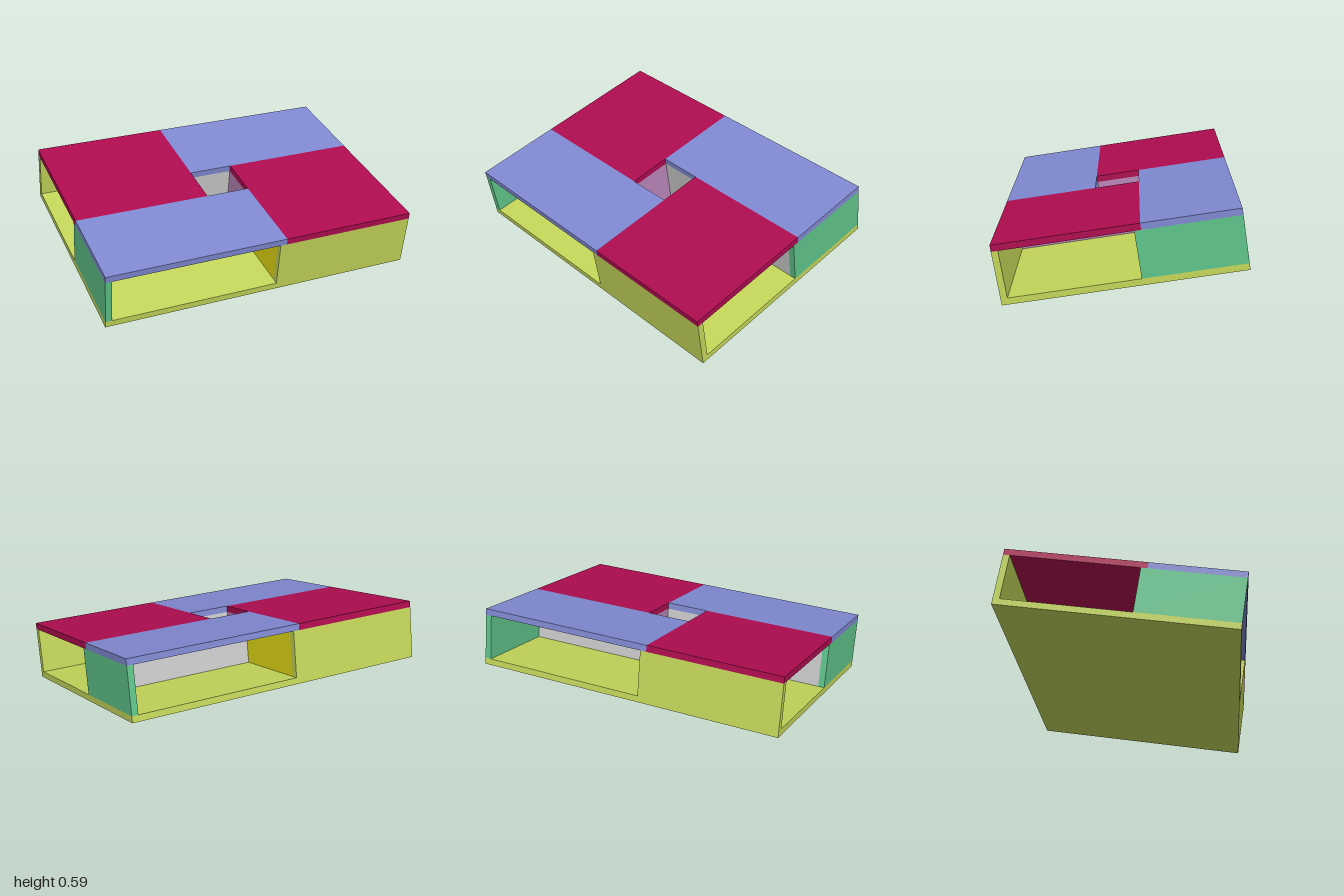
import * as THREE from 'three';

const mat = (color) => new THREE.MeshStandardMaterial({ color });
const LIME = mat(0xc4d65a), RED = mat(0xaf0c50), BLUE = mat(0x8089d2), GREEN = mat(0x5fc48a);
const PINK = mat(0xba86ba), YELLOW = mat(0xe8e015), GREY = mat(0xcccccc);

const HALF_DEPTH = 0.7135, HEIGHT = 0.368, PANEL = 0.04, LID_Y = HEIGHT - PANEL;
const HOLE = 0.14;           // half width of the central shaft
const THIN = HOLE + 0.02;    // outer face of the shaft walls
const END = HOLE - PANEL;    // inner face of the compartment ends

// Box given by its limits on each axis
function box(name, material, [x0, x1], [y0, y1], [z0, z1]) {
  const mesh = new THREE.Mesh(new THREE.BoxGeometry(x1 - x0, y1 - y0, z1 - z0), material);
  mesh.position.set((x0 + x1) / 2, (y0 + y1) / 2, (z0 + z1) / 2);
  mesh.name = name;
  return mesh;
}

// Two compartments of the pinwheel: one open to the front, one open to the side
function buildHalf() {
  const half = new THREE.Group();
  const wall = [PANEL, LID_Y], lid = [LID_Y, HEIGHT];
  const frontInside = HALF_DEPTH - PANEL, sideInside = 1 - PANEL;
  half.add(
    box('frontLid', BLUE, [-1, HOLE], lid, [HOLE, HALF_DEPTH]),
    box('sideLid', RED, [HOLE, 1], lid, [-HOLE, HALF_DEPTH]),
    box('outerFrontWall', LIME, [END, 1], wall, [frontInside, HALF_DEPTH]),
    box('outerSideWall', GREEN, [-1, -sideInside], wall, [END, HALF_DEPTH]),
    box('innerBackWall', GREY, [-sideInside, HOLE], wall, [HOLE, THIN]),
    box('sideCompartmentEnd', GREY, [-sideInside, -THIN], wall, [END, HOLE]),
    box('frontCompartmentEnd', YELLOW, [END, HOLE], wall, [THIN, frontInside]),
    box('innerSideWall', PINK, [HOLE, THIN], wall, [-HOLE, frontInside])
  );
  return half;
}

export function createModel() {
  const model = new THREE.Group();
  model.name = 'pinwheelTable';

  const body = new THREE.Group();
  body.name = 'tiltedBody';
  body.add(box('floor', LIME, [-1, 1], [0, PANEL], [-HALF_DEPTH, HALF_DEPTH]));

  // The second half is the first turned half way round the shaft
  for (const [name, turn] of [['frontHalf', 0], ['backHalf', Math.PI]]) {
    const half = buildHalf();
    half.name = name;
    half.rotation.y = turn;
    body.add(half);
  }

  // Tilt so that the front bottom edge rests on the ground
  const tilt = 0.156;
  body.rotation.x = tilt;
  body.position.set(0, HALF_DEPTH * Math.sin(tilt), -HEIGHT / 2 * Math.sin(tilt));
  model.add(body);
  return model;
}
